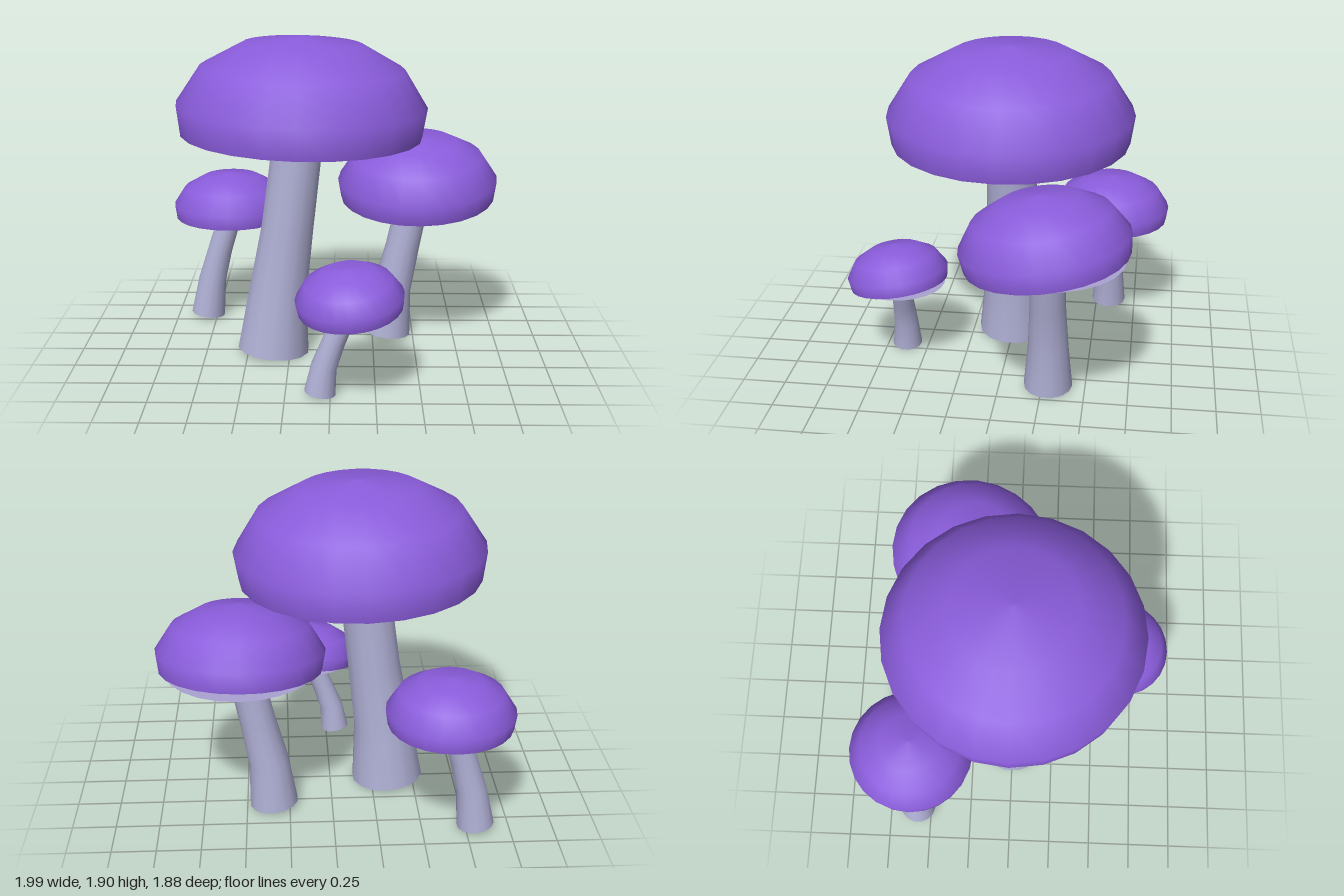
import * as THREE from 'three';
import { mergeVertices } from 'three/addons/utils/BufferGeometryUtils.js';

const material = (name, color) =>
  new THREE.MeshStandardMaterial({ name, color, side: THREE.DoubleSide });

// Cap silhouette, from the rim up to the tip (unit-size mushroom)
const CAP = [[0.695, 0], [0.72, 0.17], [0.583, 0.385], [0.34, 0.52], [0, 0.565]];
const STEM_RADII = [0.214, 0.175, 0.155, 0.147];

// size, cap centre (at the rim), cap tilt about x and z, stem centre line as [x, y]
const MUSHROOMS = [
  { name: 'largeMushroom', size: 1, cap: [-0.175, 1.335, 0], tilt: [0, -0.028],
    path: [[-0.35, 0.018], [-0.318, 0.38], [-0.258, 0.78], [-0.185, 1.37]] },
  { name: 'rightMushroom', size: 0.663, cap: [0.515, 0.897, -0.285], tilt: [0.143, 0.02],
    path: [[0.343, 0.015], [0.37, 0.3], [0.43, 0.57], [0.505, 0.93]] },
  { name: 'backMushroom', size: 0.5, cap: [-0.64, 0.678, -0.58], tilt: [0, 0],
    path: [[-0.808, 0.02], [-0.776, 0.25], [-0.722, 0.45], [-0.645, 0.7]] },
  { name: 'frontMushroom', size: 0.415, cap: [0.11, 0.51, 0.63], tilt: [0.148, 0.085],
    path: [[-0.057, 0.012], [-0.034, 0.17], [0.022, 0.32], [0.112, 0.54]] },
];

// Open tapered tube whose rings lie square to a bent centre line
function stemGeometry(path, size) {
  const sides = 14, rows = path.length - 1;
  const geo = new THREE.CylinderGeometry(1, 1, 1, sides, rows, true);
  const pos = geo.attributes.position;
  for (let i = 0; i < pos.count; i++) {
    const k = rows - Math.floor(i / (sides + 1));
    const a = path[Math.max(k - 1, 0)], b = path[Math.min(k + 1, rows)];
    const t = new THREE.Vector2(b[0] - a[0], b[1] - a[1]).normalize();
    const r = STEM_RADII[k] * size, u = pos.getX(i) * r;
    pos.setXYZ(i, path[k][0] + u * t.y, path[k][1] - u * t.x, pos.getZ(i) * r);
  }
  geo.deleteAttribute('uv');
  geo.deleteAttribute('normal');
  const welded = mergeVertices(geo);
  welded.computeVertexNormals();
  return welded;
}

export function createModel() {
  const purple = material('capPurple', 0x8a5cdb);
  const pale = material('stemLavender', 0xb0b0d6);
  const under = material('gillLavender', 0xaaa2d2);
  const model = new THREE.Group();
  model.name = 'mushroomCluster';
  const capGeo = new THREE.LatheGeometry(CAP.map(([x, y]) => new THREE.Vector2(x, y)), 24);
  // Flat disc under the cap, with a hole for the stem
  const gillGeo = new THREE.RingGeometry(0.175, 0.655, 24).rotateX(Math.PI / 2);

  for (const m of MUSHROOMS) {
    const group = new THREE.Group();
    group.name = m.name;
    const [x, y, z] = m.cap;

    const cap = new THREE.Mesh(capGeo, purple);
    cap.name = 'cap';
    cap.position.set(x, y, z);
    cap.rotation.set(m.tilt[0], 0, m.tilt[1]);
    cap.scale.setScalar(m.size);

    // The disc stays level even where the cap tilts
    const gills = new THREE.Mesh(gillGeo, under);
    gills.name = 'gills';
    gills.position.set(x, y + 0.014 * m.size, z);
    gills.scale.setScalar(m.size);

    const stem = new THREE.Mesh(stemGeometry(m.path, m.size), pale);
    stem.name = 'stem';
    stem.position.z = z;

    group.add(cap, gills, stem);
    model.add(group);
  }
  return model;
}
